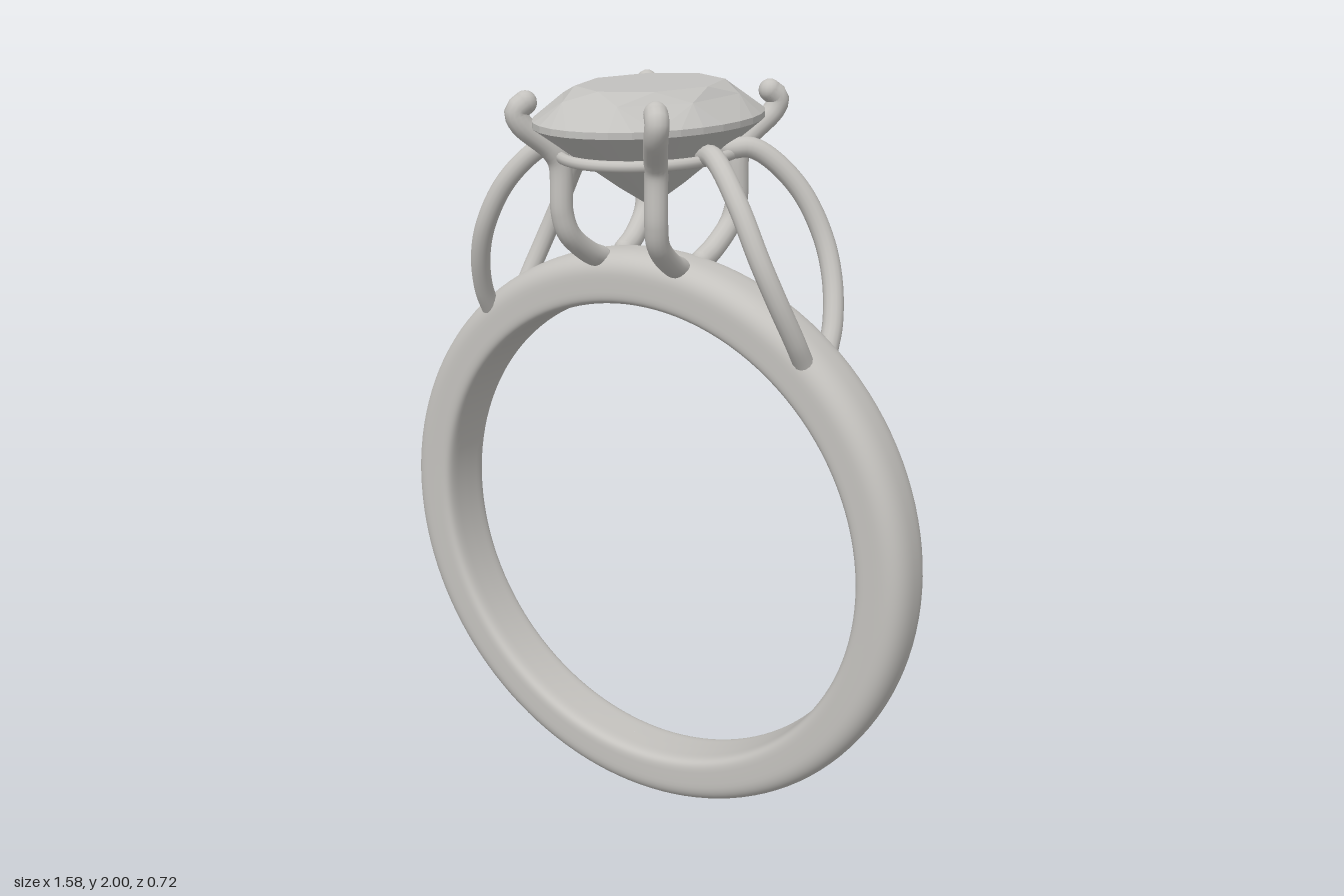
import * as THREE from 'three';

const metal = new THREE.MeshStandardMaterial({ color: 0xc4c2be });
metal.name = 'metal';
const stone = new THREE.MeshStandardMaterial({ color: 0xc2c1be, flatShading: true });
stone.name = 'stone';

function mesh(name, geometry, material) {
  const m = new THREE.Mesh(geometry, material);
  m.name = name;
  return m;
}

// Round wire through points, with domed ends
function wire(name, points, radius) {
  const g = new THREE.Group();
  g.name = name;
  const curve = new THREE.CatmullRomCurve3(points, false, 'centripetal');
  g.add(mesh(name + 'Wire', new THREE.TubeGeometry(curve, 48, radius, 14), metal));
  for (const p of [points[0], points[points.length - 1]]) {
    const end = mesh(name + 'End', new THREE.SphereGeometry(radius, 14, 10), metal);
    end.position.copy(p);
    g.add(end);
  }
  return g;
}

// Band: flat inside, domed outside, a little wider towards the top
function bandGeometry() {
  const profile = [];
  for (let i = 0; i <= 56; i++) {
    const a = -Math.PI + (i / 56) * Math.PI * 2;
    const c = Math.cos(a), s = Math.sin(a);
    const e = 2 / (c > 0 ? 2.6 : 6);
    profile.push(new THREE.Vector2(
      0.721 + 0.069 * Math.sign(c) * Math.abs(c) ** e,
      0.086 * Math.sign(s) * Math.abs(s) ** e));
  }
  const geo = new THREE.LatheGeometry(profile, 128);
  geo.rotateX(Math.PI / 2);
  const p = geo.attributes.position;
  for (let i = 0; i < p.count; i++) p.setZ(i, p.getZ(i) * (1 + 0.08 * p.getY(i)));
  return geo;
}

// Oval brilliant cut: table, stars, kites, halves, girdle and pavilion
function gemGeometry() {
  const pos = [];
  const at = (turn, scale, y) => {
    const a = turn * Math.PI * 2;
    return [0.257 * scale * Math.cos(a), y, 0.36 * scale * Math.sin(a)];
  };
  const tri = (a, b, c) => pos.push(...a, ...b, ...c);
  const T = k => at(k / 8, 0.64, 2);
  const S = k => at((k + 0.5) / 8, 0.8, 1.974);
  const U = j => at(j / 32, 1, 1.924);
  const L = j => at(j / 32, 1, 1.908);
  const P = k => at((k + 0.5) / 8, 0.3, 1.75);
  const top = [0, 2, 0], culet = [0, 1.69, 0];
  for (let k = 0; k < 8; k++) {
    tri(top, T(k + 1), T(k));
    tri(S(k), T(k), T(k + 1));
    tri(T(k), S(k), S(k - 1));
    tri(U(4 * k), S(k - 1), S(k));
    tri(culet, P(k - 1), P(k));
    tri(L(4 * k), P(k), P(k - 1));
    for (let j = 4 * k; j < 4 * k + 4; j++) {
      tri(S(k), U(j + 1), U(j));
      tri(U(j), U(j + 1), L(j));
      tri(U(j + 1), L(j + 1), L(j));
      tri(P(k), L(j), L(j + 1));
    }
  }
  const geo = new THREE.BufferGeometry();
  geo.setAttribute('position', new THREE.Float32BufferAttribute(pos, 3));
  geo.computeVertexNormals();
  return geo;
}

export function createModel() {
  const model = new THREE.Group();
  model.name = 'ring';

  const band = mesh('band', bandGeometry(), metal);
  band.position.y = 0.79;
  model.add(band);
  model.add(mesh('gem', gemGeometry(), stone));

  // Oval rail under the stone
  const rail = [];
  for (let i = 0; i < 24; i++) {
    const a = (i / 24) * Math.PI * 2;
    rail.push(new THREE.Vector3(0.205 * Math.cos(a), 1.832, 0.268 * Math.sin(a)));
  }
  model.add(mesh('galleryRail', new THREE.TubeGeometry(
    new THREE.CatmullRomCurve3(rail, true), 96, 0.014, 10, true), metal));

  // Four prongs and four shoulder arms, mirrored in x and z
  const prong = [
    [0.12, 1.555, 0.055], [0.124, 1.575, 0.1], [0.134, 1.635, 0.173], [0.14, 1.69, 0.192],
    [0.142, 1.815, 0.196], [0.153, 1.85, 0.215], [0.195, 1.915, 0.278],
    [0.203, 1.945, 0.286], [0.188, 1.966, 0.268],
  ];
  const arm = [
    [0.484, 1.37, 0.065], [0.477, 1.43, 0.1], [0.45, 1.53, 0.142], [0.41, 1.63, 0.162],
    [0.35, 1.74, 0.152], [0.28, 1.82, 0.118], [0.235, 1.848, 0.09], [0.195, 1.845, 0.06],
  ];
  for (const sx of [1, -1]) for (const sz of [1, -1]) {
    const mirror = list => list.map(([x, y, z]) => new THREE.Vector3(sx * x, y, sz * z));
    const side = (sz > 0 ? 'front' : 'back') + (sx > 0 ? 'Left' : 'Right');
    model.add(wire(side + 'Prong', mirror(prong), 0.029));
    model.add(wire(side + 'ShoulderArm', mirror(arm), 0.026));
  }
  return model;
}
